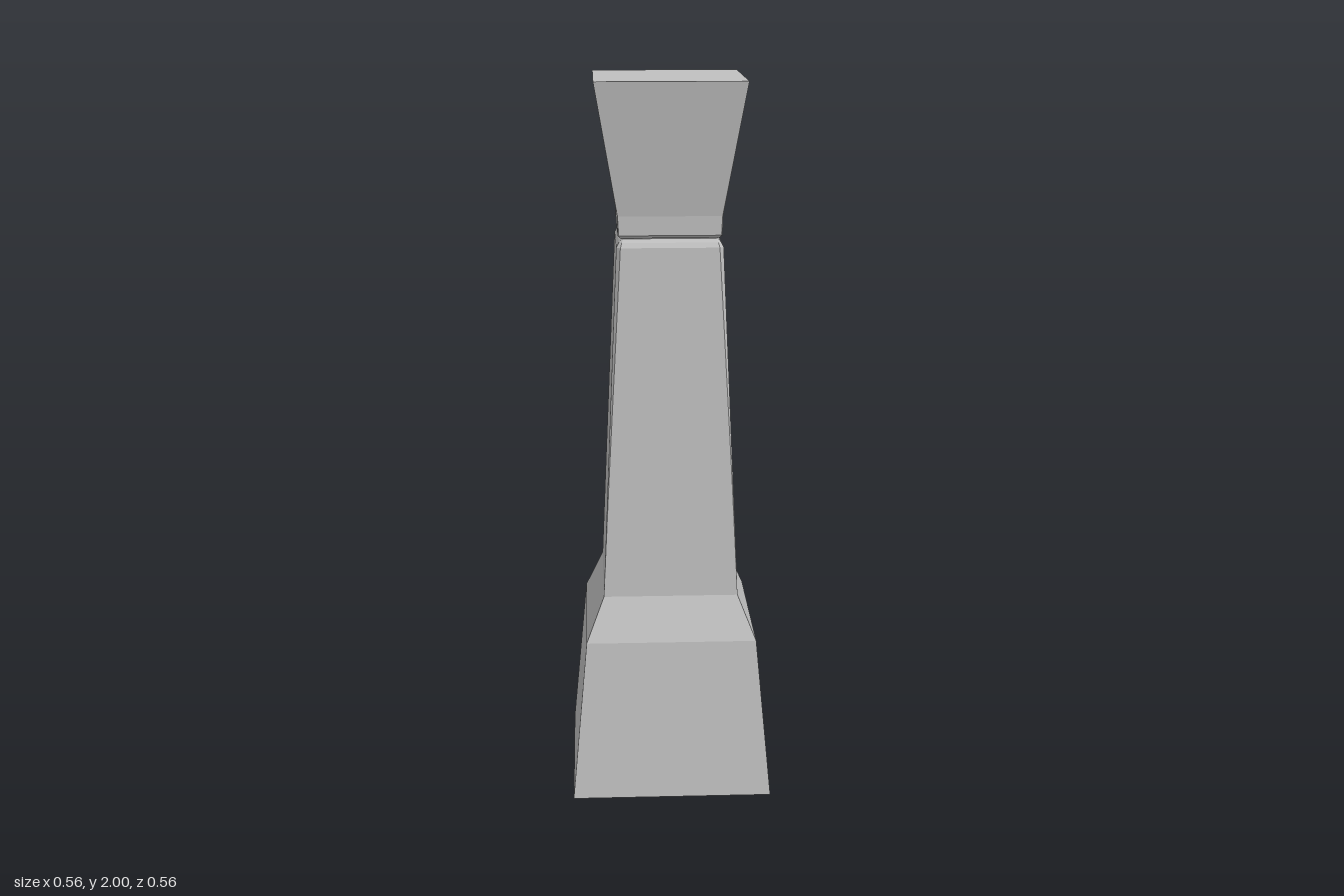
import * as THREE from 'three';

// Each ring: [height, half width, corner chamfer]
const ring = ([y, h, c]) => [
  [h, h - c], [h - c, h], [c - h, h], [-h, h - c],
  [-h, c - h], [c - h, -h], [h - c, -h], [h, c - h],
].map(([x, z]) => new THREE.Vector3(x, y, z));

// Closed, flat-shaded loft through square rings
function loft(rings) {
  const pos = [];
  const tri = (a, b, c) => {
    const area = b.clone().sub(a).cross(c.clone().sub(a)).length();
    if (area > 1e-9) for (const p of [a, b, c]) pos.push(p.x, p.y, p.z);
  };
  const loops = rings.map(ring);
  for (let i = 0; i < loops.length - 1; i++) {
    const lo = loops[i], hi = loops[i + 1];
    for (let k = 0; k < 8; k++) {
      const n = (k + 1) % 8;
      tri(lo[k], hi[k], hi[n]);
      tri(lo[k], hi[n], lo[n]);
    }
  }
  const bottom = loops[0], top = loops[loops.length - 1];
  for (let k = 1; k < 7; k++) {
    tri(bottom[0], bottom[k], bottom[k + 1]);
    tri(top[0], top[k + 1], top[k]);
  }
  const geo = new THREE.BufferGeometry();
  geo.setAttribute('position', new THREE.Float32BufferAttribute(pos, 3));
  geo.computeVertexNormals();
  return geo;
}

export function createModel() {
  const model = new THREE.Group();
  model.name = 'pillar';
  const stone = new THREE.MeshStandardMaterial({ color: 0xc0c0c0 });
  stone.name = 'grey stone';

  const parts = {
    // Tapered plinth with a sloped shoulder
    base: [[0, 0.28, 0], [0.455, 0.238, 0], [0.575, 0.188, 0]],
    // Shaft whose corner chamfers widen upwards, with a bevelled top
    shaft: [[0.575, 0.188, 0], [0.9, 0.174, 0.003], [1.555, 0.145, 0.011],
      [1.568, 0.138, 0.008], [1.578, 0.13, 0.004]],
    // Recessed joint below the capital
    neck: [[1.57, 0.128, 0], [1.59, 0.128, 0]],
    // Flared capital with a small rounded lip
    capital: [[1.58, 0.134, 0.003], [1.588, 0.141, 0.003], [1.64, 0.142, 0.001], [2, 0.203, 0]],
  };
  for (const [name, rings] of Object.entries(parts)) {
    const mesh = new THREE.Mesh(loft(rings), stone);
    mesh.name = name;
    model.add(mesh);
  }
  return model;
}
